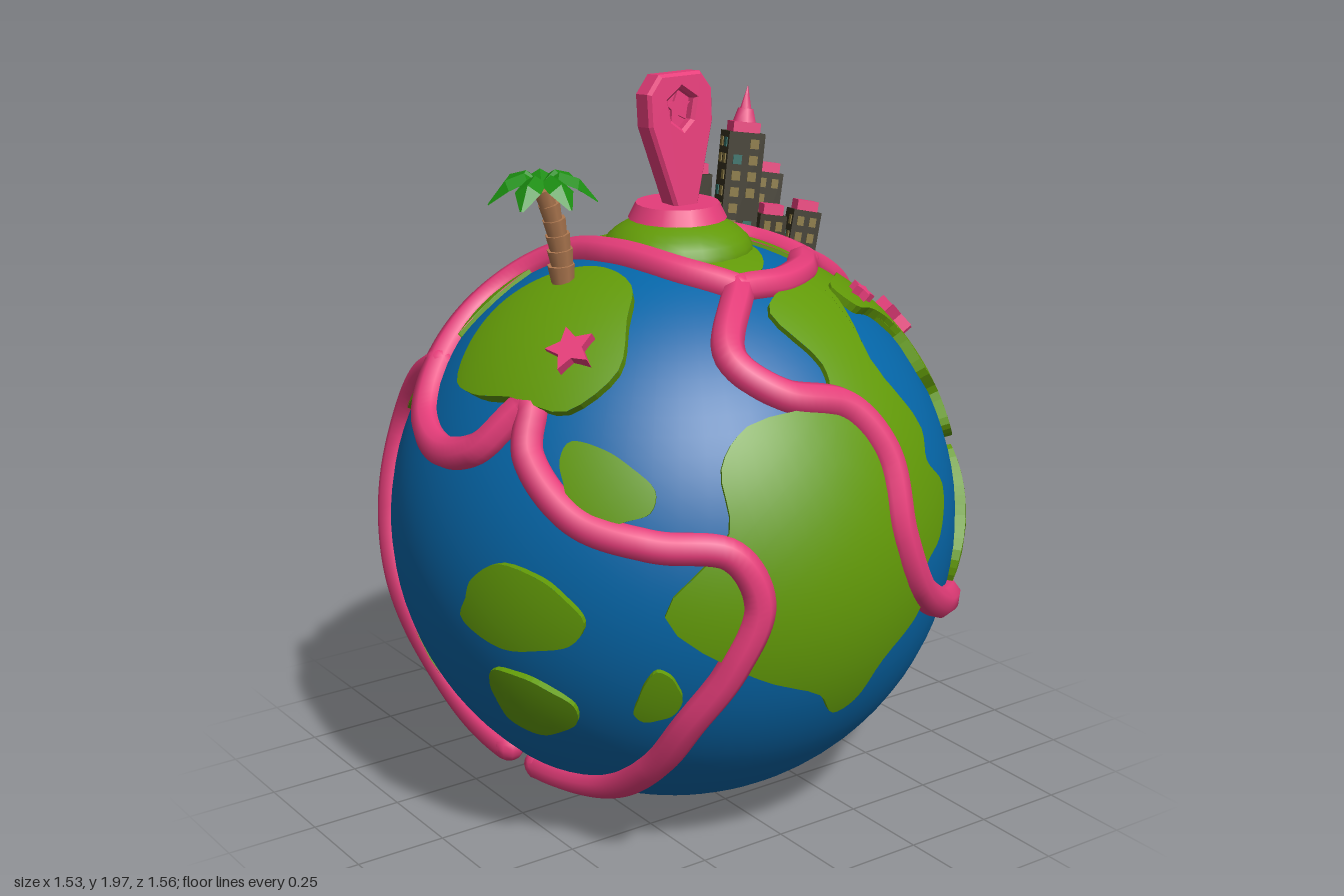
import * as THREE from 'three';

const R = 0.766, CENTRE_Y = 0.79;
const V = (x, y, z) => new THREE.Vector3(x, y, z);
const mat = (name, color, side = THREE.FrontSide) => {
  const m = new THREE.MeshStandardMaterial({ color, side });
  m.name = name;
  return m;
};

// Flat map charts of the globe: origin, units per length, azimuth and elevation of the chart centre
const charts = {
  front: [238, 264.5, 188.7, 0, 0],
  side: [686, 264.5, 188.5, 90, 0],
  north: [1134.5, 225, 239, 0, 90],
  frontLeft: [237, 705, 188, 35, 25],
  backLeft: [686, 705, 188, 215, 25],
  backRight: [1137, 706, 188, 145, -30],
};

// Chart coordinates to flat points within the unit disc
function flat(chart, list) {
  const [cx, cy, s] = charts[chart], out = [];
  for (let i = 0; i < list.length; i += 2) {
    out.push(V((list[i] - cx) / (s * R), (cy - list[i + 1]) / (s * R), 0).clampLength(0, 0.998));
  }
  return out;
}
// Flat chart point to a direction from the globe centre
function lift(chart, p) {
  const a = charts[chart][3] * Math.PI / 180, e = charts[chart][4] * Math.PI / 180;
  const w = Math.sqrt(Math.max(0, 1 - p.x * p.x - p.y * p.y));
  return V(Math.cos(a), 0, -Math.sin(a)).multiplyScalar(p.x)
    .addScaledVector(V(-Math.sin(a) * Math.sin(e), Math.cos(e), -Math.cos(a) * Math.sin(e)), p.y)
    .addScaledVector(V(Math.sin(a) * Math.cos(e), Math.sin(e), Math.cos(a) * Math.cos(e)), w).normalize();
}
const dirs = (chart, list) => flat(chart, list).map(p => lift(chart, p));

// Wobbly oval outline for islands
function oval(x, y, rx, ry, tilt = 0) {
  const list = [];
  for (let i = 0; i < 10; i++) {
    const a = i * Math.PI / 5, k = 1 + 0.13 * Math.sin(3 * a + 1);
    const u = Math.cos(a) * rx * k, v = Math.sin(a) * ry * k;
    list.push(x + u * Math.cos(tilt) - v * Math.sin(tilt), y + u * Math.sin(tilt) + v * Math.cos(tilt));
  }
  return list;
}

// Curved land plate with a skirt and a domed middle, bounded by a smooth outline
function landGeometry(chart, list, height, level, dome) {
  const curve = new THREE.CatmullRomCurve3(flat(chart, list), true);
  let outline = curve.getPoints(list.length * 2);
  outline.pop();
  if (THREE.ShapeUtils.isClockWise(outline)) outline = outline.reverse();
  const d = outline.map(p => lift(chart, p)), pos = [], nor = [];
  const middle = d.reduce((sum, p) => sum.add(p), V(0, 0, 0)).normalize();
  const reach = Math.max(...d.map(p => p.distanceTo(middle)));
  const raise = p => p.clone().multiplyScalar(R + height + dome * (1 - (p.distanceTo(middle) / reach) ** 2));
  const add = (p, n) => { pos.push(p.x, p.y, p.z); nor.push(n.x, n.y, n.z); };
  const split = (a, b, c, n) => {
    if (!n) return [a, b, c].forEach(p => add(raise(p), p));
    const [ab, bc, ca] = [[a, b], [b, c], [c, a]].map(([p, q]) => p.clone().add(q).normalize());
    split(a, ab, ca, n - 1); split(ab, b, bc, n - 1); split(ca, bc, c, n - 1); split(ab, bc, ca, n - 1);
  };
  for (const [a, b, c] of THREE.ShapeUtils.triangulateShape(outline, [])) split(d[a], d[b], d[c], level);
  d.forEach((a, i) => {
    const b = d[(i + 1) % d.length], n = b.clone().sub(a).cross(a).normalize();
    const [a0, b0] = [a, b].map(p => p.clone().multiplyScalar(R - 0.01));
    [a0, b0, raise(b), a0, raise(b), raise(a)].forEach(p => add(p, n));
  });
  const g = new THREE.BufferGeometry();
  g.setAttribute('position', new THREE.Float32BufferAttribute(pos, 3));
  g.setAttribute('normal', new THREE.Float32BufferAttribute(nor, 3));
  return g;
}

function starGeometry(r, depth) {
  const pts = Array.from({ length: 10 }, (_, i) => {
    const a = i * Math.PI / 5 + Math.PI / 2, k = i % 2 ? r * 0.5 : r;
    return new THREE.Vector2(Math.cos(a) * k, Math.sin(a) * k);
  });
  return new THREE.ExtrudeGeometry(new THREE.Shape(pts), { depth, bevelEnabled: false });
}

export function createModel() {
  const model = new THREE.Group();
  const water = mat('water blue', 0x0566a8), land = mat('land green', 0x629a08);
  const pink = mat('pink', 0xe63d7a), dark = mat('building dark', 0x35301f);
  const amber = mat('window amber', 0x84723a), teal = mat('window teal', 0x2c6a62);
  const bark = mat('trunk brown', 0xae7850), leaf = mat('leaf green', 0x1b8c10, THREE.DoubleSide);
  const mesh = (name, geo, material, parent) => {
    const m = new THREE.Mesh(geo, material);
    m.name = name;
    parent.add(m);
    return m;
  };
  const box = (name, w, h, d, x, y, z, material, parent) => {
    const m = mesh(name, new THREE.BoxGeometry(w, h, d), material, parent);
    m.position.set(x, y, z);
    return m;
  };
  const group = (name, parent) => {
    const g = new THREE.Group();
    g.name = name;
    parent.add(g);
    return g;
  };

  // Globe
  const globe = group('globe', model);
  globe.position.y = CENTRE_Y;
  mesh('ocean', new THREE.SphereGeometry(R, 64, 48), water, globe);

  // Continents and islands
  const addLand = (name, chart, height, level, list, dome = 0) =>
    mesh(name, landGeometry(chart, list, height, level, dome), land, globe);
  addLand('frontContinent', 'front', 0.014, 3, [238,143, 262,136, 288,141, 283,168, 303,202, 300,215, 312,230, 304,252, 290,262,
    288,282, 262,303, 250,322, 238,326, 226,312, 190,295, 152,262, 180,225, 183,198, 200,182, 246,175, 250,164]);
  addLand('northLand', 'north', 0.012, 4, [1110,290, 1150,292, 1172,262, 1168,200, 1190,180, 1212,225, 1212,255, 1190,295,
    1215,302, 1290,290, 1306,200, 1245,103, 1190,101, 1130,88, 1060,79, 1030,80, 992,155, 1075,165, 1095,215]);
  addLand('eastLand', 'side', 0.012, 4, [640,150, 665,192, 690,212, 694,228, 715,238, 750,238, 788,228, 775,162, 700,114]);
  addLand('starLand', 'frontLeft', 0.02, 3, [245,628, 268,627, 300,630, 332,648, 330,670, 316,692, 305,714, 288,724, 278,716,
    284,700, 274,685, 278,665, 262,648, 246,641], 0.008);
  addLand('backLeftLand', 'backLeft', 0.012, 4,
    [600,600, 580,640, 640,656, 662,672, 668,718, 664,750, 675,775, 715,800, 726,836, 748,834, 742,790, 720,725, 742,672, 692,610]);
  addLand('backRightLand', 'backRight', 0.01, 4, [1140,578, 1175,585, 1215,625, 1219,648, 1198,656, 1170,690, 1150,715,
    1135,739, 1104,740, 1108,710, 1100,684, 1117,666, 1142,648, 1150,630, 1138,608]);
  addLand('palmIsland', 'north', 0.012, 3, oval(1028, 253, 41, 56, -0.4), 0.06);
  addLand('eastIsland', 'side', 0.014, 2, oval(604, 266, 16, 33, 0.4), 0.018);
  addLand('westIslandUpper', 'front', 0.014, 2, oval(140, 206, 14, 16), 0.015);
  addLand('westIslandMiddle', 'front', 0.014, 2, oval(110, 267, 14, 20), 0.015);
  addLand('westIslandLower', 'front', 0.012, 2, oval(118, 318, 9, 19, -0.5), 0.012);
  addLand('westIslet', 'front', 0.012, 2, oval(153, 305, 8, 14), 0.012);

  // Raised roads that follow the surface, with rounded ends
  const road = (name, points) => {
    const onGlobe = new THREE.CatmullRomCurve3(points).getSpacedPoints(points.length * 5)
      .map(p => p.normalize().multiplyScalar(R + 0.004));
    mesh(name, new THREE.TubeGeometry(new THREE.CatmullRomCurve3(onGlobe), points.length * 10, 0.043, 8), pink, globe);
    for (const p of [onGlobe[0], onGlobe[onGlobe.length - 1]]) {
      mesh(name + 'End', new THREE.SphereGeometry(0.043, 10, 8), pink, globe).position.copy(p);
    }
  };
  road('westRoad', [...dirs('north', [1128,302, 1105,272, 1091,225, 1084,185, 1068,160, 1040,150, 1000,164, 975,190, 967,225, 974,255]),
    ...dirs('front', [130,177, 121,197, 127,221, 150,230, 180,235, 190,258, 180,290, 168,320, 164,350, 160,372, 149,379])]);
  road('frontRoad', [...dirs('north', [1128,302]),
    ...dirs('front', [207,156, 222,171, 255,181, 270,203, 272,240, 286,271, 310,290, 343,303, 354,320, 351,345])]);
  road('eastRoad', dirs('north', [1128,302, 1160,300, 1190,283, 1215,255, 1250,240, 1282,212, 1291,180, 1276,150, 1226,92]));
  road('cityRoad', dirs('north', [1215,255, 1207,215, 1180,180]));
  road('backRoad', dirs('backLeft', [745,670, 728,690, 718,720, 728,760, 738,790, 742,823, 766,826]));

  // Star markers lying on the land
  const addStar = (chart, x, y, r, height) => {
    const [d] = dirs(chart, [x, y]);
    const s = mesh('starMarker', starGeometry(r, 0.035), pink, globe);
    s.position.copy(d).multiplyScalar(R + height);
    s.quaternion.setFromUnitVectors(V(0, 0, 1), d);
  };
  addStar('frontLeft', 294, 660, 0.063, 0.02);
  addStar('frontLeft', 263, 639, 0.036, 0.012);
  addStar('north', 1025, 285, 0.065, 0.04);
  addStar('north', 1065, 132, 0.018, -0.01);

  // Mound, plinth and map pin at the top
  const mound = mesh('mound', new THREE.SphereGeometry(1, 24, 16), land, model);
  mound.position.set(0, 1.53, 0.02);
  mound.scale.set(0.2, 0.1, 0.2);
  mesh('plinth', new THREE.CylinderGeometry(0.11, 0.13, 0.04, 20), pink, model).position.set(0, 1.638, 0.02);
  const pin = group('mapPin', model);
  pin.position.set(0, 1.63, 0.035);
  pin.rotation.x = -0.09;
  const vec = ([x, y]) => new THREE.Vector2(x, y);
  const body = new THREE.Shape([[-0.022, 0], [0.022, 0], [0.088, 0.235], [0.09, 0.315], [0.06, 0.357], [-0.06, 0.357],
    [-0.095, 0.315], [-0.095, 0.235]].map(vec));
  body.holes.push(new THREE.Path([[-0.04, 0.24], [-0.05, 0.3], [0, 0.335], [0.05, 0.3], [0.035, 0.24], [0, 0.21]].map(vec)));
  mesh('pinBody', new THREE.ExtrudeGeometry(body, { depth: 0.05, bevelThickness: 0.01, bevelSize: 0.008, bevelSegments: 1 }), pink, pin)
    .position.z = -0.025;
  box('pinHollow', 0.11, 0.125, 0.008, 0, 0.27, 0, pink, pin);
  mesh('pinStar', starGeometry(0.04, 0.025), pink, pin).position.set(0, 0.275, -0.0125);

  // City towers: roof x, y, z, width, height
  const towers = [[0.275, 1.65, -0.28, 0.075, 0.27], [0.4, 1.76, -0.23, 0.102, 0.39], [0.505, 1.63, -0.26, 0.08, 0.33],
    [0.43, 1.54, -0.14, 0.076, 0.22], [0.565, 1.53, -0.16, 0.08, 0.27]];
  towers.forEach(([x, y, z, w, h], i) => {
    const t = group('tower', model), up = V(x * 0.42, 1, z * 0.3).normalize();
    t.position.set(x, y, z).addScaledVector(up, -h);
    t.quaternion.setFromUnitVectors(V(0, 1, 0), up).multiply(new THREE.Quaternion().setFromAxisAngle(V(0, 1, 0), -0.4));
    box('towerBody', w, h, w, 0, h / 2, 0, dark, t);
    box('roof', w * 0.75, 0.028, w * 0.75, 0, h + 0.014, 0, pink, t);
    if (i === 1) {
      mesh('spireBase', new THREE.CylinderGeometry(0.022, 0.034, 0.04, 6), pink, t).position.y = h + 0.045;
      mesh('spire', new THREE.ConeGeometry(0.02, 0.08, 6), pink, t).position.y = h + 0.09;
    }
    for (let side = 0; side < 4; side++) {
      const wall = group('windows', t);
      wall.rotation.y = side * Math.PI / 2;
      for (let row = 0; row * 0.045 < h - 0.08; row++) {
        for (const s of [-1, 1]) {
          const k = (row * 3 + side * 5 + i * 2 + s + 7) % 7;
          if (k === 1) continue;
          box('window', w * 0.24, 0.026, 0.006, s * w * 0.22, h - 0.03 - row * 0.045, w / 2, k === 4 ? teal : amber, wall);
        }
      }
    }
  });

  // Green gateway behind the city
  const gate = group('gateway', model);
  gate.position.set(0.385, 1.345, -0.355);
  gate.rotation.set(-0.2, -0.4, -0.2);
  for (const s of [-1, 1]) box('gatePillar', 0.05, 0.15, 0.08, s * 0.055, 0.075, 0, land, gate);
  box('gateLintel', 0.17, 0.05, 0.09, 0, 0.165, 0, land, gate);

  // Palm with a stacked trunk and drooping folded leaves
  const palm = group('palm', model);
  for (let i = 0; i < 6; i++) {
    const t = i / 5, ring = mesh('trunkRing', new THREE.CylinderGeometry(0.036 - 0.009 * t, 0.03 - 0.008 * t, 0.046, 8), bark, palm);
    ring.position.set(-0.385 - 0.045 * t * t, 1.53 + 0.2 * t, 0.06);
    ring.rotation.z = 0.1 + 0.2 * t;
  }
  const sections = [[0, 0, 0.014], [0.045, 0.03, 0.03], [0.095, 0.015, 0.034], [0.14, -0.04, 0.004]];
  const leafPos = [];
  for (let i = 0; i < 3; i++) {
    const [r0, y0, w0] = sections[i], [r1, y1, w1] = sections[i + 1];
    for (const s of [-1, 1]) {
      const a = [r0, y0, 0], b = [r1, y1, 0], c = [r1, y1 - w1 * 0.6, s * w1], d = [r0, y0 - w0 * 0.6, s * w0];
      leafPos.push(...(s < 0 ? [a, b, c, a, c, d] : [a, c, b, a, d, c]).flat());
    }
  }
  const leafGeo = new THREE.BufferGeometry();
  leafGeo.setAttribute('position', new THREE.Float32BufferAttribute(leafPos, 3));
  leafGeo.computeVertexNormals();
  for (let i = 0; i < 7; i++) {
    const l = mesh('palmLeaf', leafGeo, leaf, palm);
    l.position.set(-0.44, 1.765, 0.06);
    l.rotation.y = i * Math.PI * 2 / 7 + 0.2;
  }
  return model;
}
